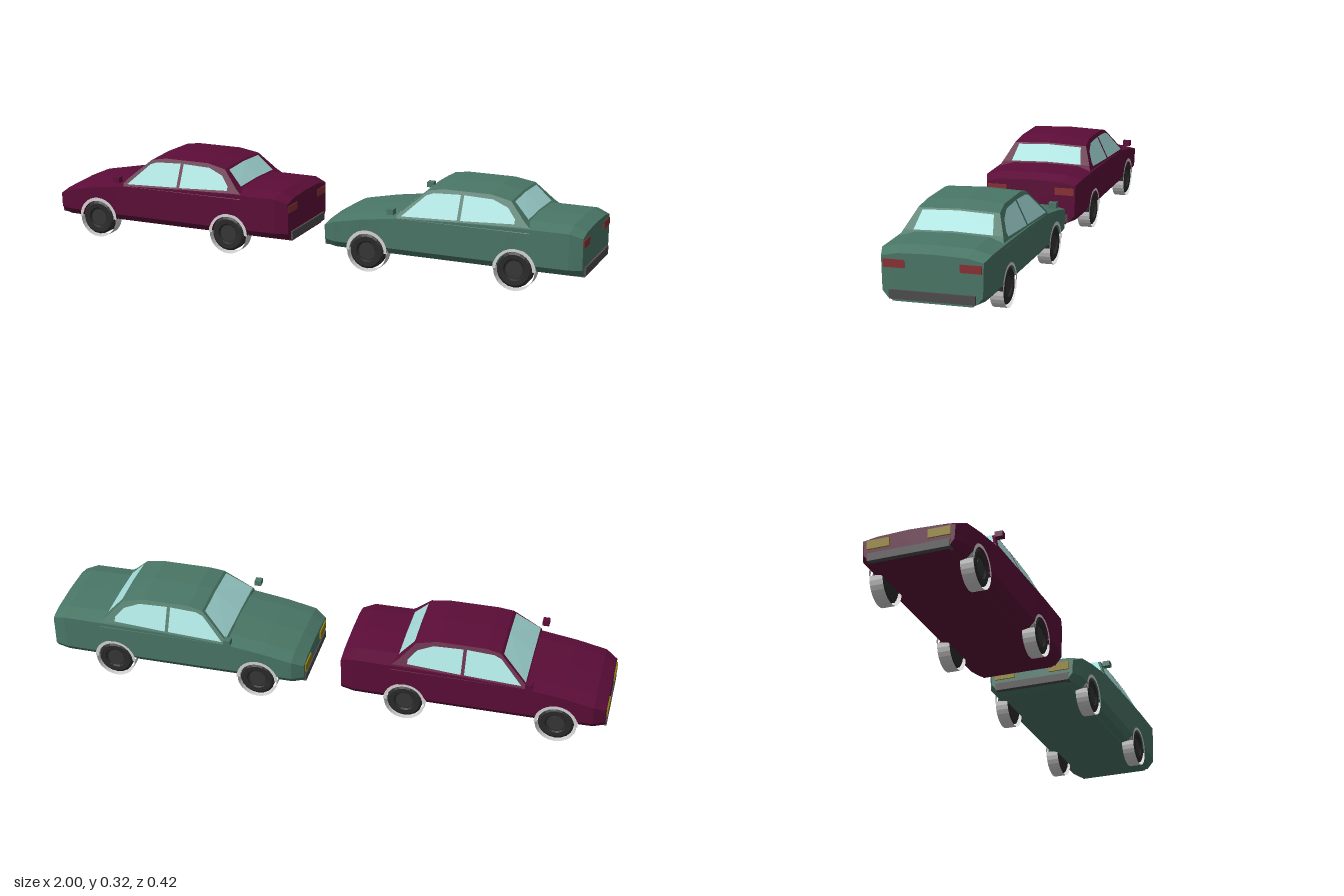
import * as THREE from 'three';

const mat = (name, color, side = THREE.FrontSide) =>
  new THREE.MeshStandardMaterial({ name, color, side, flatShading: true });

const WHEEL_X = [0.17, 0.70], WHEEL_Y = 0.063, WHEEL_R = 0.062, ARCH_R = 0.074;

// Piecewise linear lookup: rows of [x, v1, v2, ...]
function sample(rows, x, k) {
  for (let i = 1; i < rows.length; i++) {
    const a = rows[i - 1], b = rows[i];
    if (x <= b[0]) return a[k] + (b[k] - a[k]) * Math.max(0, (x - a[0]) / (b[0] - a[0]));
  }
  return rows[rows.length - 1][k];
}

// Skin a list of {x, half} sections; half = [z, y] points from bottom centre up to the crown
function loft(sections) {
  const pos = [];
  const rings = sections.map(({ x, half }) => {
    const other = half.slice(1, -1).reverse().map(([z, y]) => [-z, y]);
    return [...half, ...other].map(([z, y]) => [x, y, z]);
  });
  const tri = (a, b, c) => pos.push(...a, ...b, ...c);
  const n = rings[0].length;
  for (let i = 0; i + 1 < rings.length; i++) {
    for (let j = 0; j < n; j++) {
      const k = (j + 1) % n, p = rings[i], q = rings[i + 1];
      tri(p[j], q[j], q[k]);
      tri(p[j], q[k], p[k]);
    }
  }
  for (const [ring, flip] of [[rings[0], false], [rings[rings.length - 1], true]]) {
    const ys = ring.map(p => p[1]);
    const mid = [ring[0][0], (Math.min(...ys) + Math.max(...ys)) / 2, 0];
    for (let j = 0; j < n; j++) {
      const a = ring[j], b = ring[(j + 1) % n];
      flip ? tri(mid, b, a) : tri(mid, a, b);
    }
  }
  const g = new THREE.BufferGeometry();
  g.setAttribute('position', new THREE.Float32BufferAttribute(pos, 3));
  g.computeVertexNormals();
  return g;
}

// Flat convex polygon in space
function plate(points) {
  const g = new THREE.BufferGeometry();
  const pos = [];
  for (let i = 1; i + 1 < points.length; i++) pos.push(...points[0], ...points[i], ...points[i + 1]);
  g.setAttribute('position', new THREE.Float32BufferAttribute(pos, 3));
  g.computeVertexNormals();
  return g;
}

// Lower body with tucked sills and open wheel arches
function bodyGeometry() {
  // x, crown height, shoulder height, half width
  const rows = [
    [0.004, 0.147, 0.135, 0.157], [0.045, 0.17, 0.155, 0.178], [0.15, 0.19, 0.176, 0.18],
    [0.29, 0.21, 0.196, 0.181], [0.5, 0.213, 0.205, 0.181], [0.72, 0.229, 0.21, 0.181],
    [0.885, 0.228, 0.21, 0.179], [0.93, 0.21, 0.195, 0.166]];
  const xs = rows.map(r => r[0]);
  for (const w of WHEEL_X) {
    for (let i = 0; i <= 12; i++) xs.push(w - ARCH_R * Math.cos(i * Math.PI / 12));
    xs.push(w - ARCH_R - 0.001, w + ARCH_R + 0.001);
  }
  xs.sort((a, b) => a - b);
  return loft(xs.map(x => {
    const top = sample(rows, x, 1), sh = sample(rows, x, 2), w = sample(rows, x, 3);
    let arch = 0;
    for (const c of WHEEL_X) {
      const d = ARCH_R ** 2 - (x - c) ** 2;
      if (d > -1e-9) arch = WHEEL_Y + Math.sqrt(Math.max(0, d));
    }
    const floor = x < 0.02 ? 0.066 : 0.053;
    const low = Math.max(arch, 0.085), sill = Math.max(arch, 0.062);
    return { x, half: [[0, floor], [0.13, floor], [0.13, Math.max(arch, floor + 0.003)],
      [w - 0.022, sill], [w - 0.003, low], [w, sh], [w * 0.68, top - 0.004], [0, top]] };
  }));
}

// Cabin side plane leans inward with height
const sideZ = y => 0.179 - (y - 0.2) * 0.48;

function cabinGeometry() {
  // x, edge height, crown height
  const rows = [[0.28, 0.206, 0.208], [0.378, 0.293, 0.298], [0.43, 0.302, 0.308],
    [0.6, 0.302, 0.309], [0.672, 0.288, 0.293], [0.73, 0.228, 0.232], [0.75, 0.212, 0.215]];
  return loft(rows.map(([x, edge, crown]) =>
    ({ x, half: [[0, 0.19], [sideZ(0.195), 0.195], [sideZ(edge), edge], [0, crown]] })));
}

function buildCar(paint, m) {
  const car = new THREE.Group();
  const add = (name, geo, material, x = 0, y = 0, z = 0) => {
    const mesh = new THREE.Mesh(geo, material);
    mesh.name = name;
    mesh.position.set(x, y, z);
    car.add(mesh);
    return mesh;
  };
  const box = (name, material, x0, x1, y0, y1, z0, z1) =>
    add(name, new THREE.BoxGeometry(x1 - x0, y1 - y0, Math.abs(z1 - z0)), material,
      (x0 + x1) / 2, (y0 + y1) / 2, (z0 + z1) / 2);

  add('body', bodyGeometry(), paint);
  add('cabin', cabinGeometry(), paint);

  // Windscreen and rear window, bent along the centre line like the roof
  const screen = (name, lo, hi) => {
    for (const s of [1, -1]) {
      add(name, plate([[lo[0], lo[1], s * lo[3]], [hi[0], hi[1], s * hi[3]],
        [hi[0], hi[2], 0], [lo[0], lo[2], 0]]), m.glass);
    }
  };
  screen('windscreen', [0.283, 0.213, 0.217, 0.168], [0.369, 0.289, 0.294, 0.127]);
  screen('rearWindow', [0.732, 0.23, 0.234, 0.132], [0.68, 0.284, 0.289, 0.119]);

  // Side windows
  const frontPane = [[0.296, 0.204], [0.374, 0.278], [0.4, 0.287], [0.495, 0.291], [0.495, 0.211]];
  const rearPane = [[0.507, 0.211], [0.507, 0.291], [0.61, 0.288], [0.665, 0.268],
    [0.695, 0.235], [0.695, 0.22]];

  // Wheel outline: tyre with a recessed hub
  const profile = [[0, 0.012], [0.034, 0.014], [0.038, 0.02], [0.054, 0.021], [WHEEL_R, 0.015],
    [WHEEL_R, -0.015], [0.054, -0.021], [0, -0.021]].map(p => new THREE.Vector2(...p)).reverse();
  const wheelGeo = new THREE.LatheGeometry(profile, 18);
  const ringGeo = new THREE.RingGeometry(0.064, ARCH_R + 0.002, 14, 1, 0, Math.PI);
  const liningGeo = new THREE.CylinderGeometry(0.072, 0.072, 0.046, 14, 1, true, Math.PI / 2, Math.PI);

  for (const s of [1, -1]) {
    for (const [name, pane] of [['frontSideWindow', frontPane], ['rearSideWindow', rearPane]])
      add(name, plate(pane.map(([x, y]) => [x, y, s * (sideZ(y) + 0.002)])), m.glass);

    WHEEL_X.forEach((x, i) => {
      const end = i ? 'rear' : 'front';
      const wheel = add(end + 'Wheel', wheelGeo, m.tyre, x, WHEEL_Y, s * 0.156);
      wheel.rotation.x = s * Math.PI / 2;
      const hub = add(end + 'Hub', new THREE.CylinderGeometry(0.03, 0.03, 0.006, 12), m.hub,
        x, WHEEL_Y, s * 0.169);
      hub.rotation.x = Math.PI / 2;
      // Bright arch trim and lining
      add(end + 'ArchTrim', ringGeo, m.trim, x, WHEEL_Y, s * 0.178);
      const lining = add(end + 'ArchLining', liningGeo, m.trim, x, WHEEL_Y, s * 0.155);
      lining.rotation.x = -Math.PI / 2;
    });

    box('doorMirror', paint, 0.256, 0.28, 0.214, 0.233, s * 0.183, s * 0.21);
    box('headlight', m.lamp, -0.001, 0.007, 0.102, 0.132, s * 0.065, s * 0.142);
    box('tailLight', m.red, 0.925, 0.933, 0.16, 0.186, s * 0.09, s * 0.16);
  }
  box('frontBumper', m.bumper, 0, 0.03, 0.061, 0.088, -0.14, 0.14);
  box('rearBumper', m.bumper, 0.905, 0.937, 0.061, 0.09, -0.14, 0.14);
  return car;
}

export function createModel() {
  const m = {
    glass: mat('glass', 0xa6dedb, THREE.DoubleSide),
    tyre: mat('tyre', 0x2a2a2a),
    hub: mat('hub', 0x363636),
    trim: mat('trim', 0xd4d4d4, THREE.DoubleSide),
    bumper: mat('bumper', 0x4e4b4d),
    lamp: mat('lamp', 0x8f7d14),
    red: mat('tailRed', 0x8a3034),
  };
  const model = new THREE.Group();
  model.name = 'twoSaloonCars';
  const cars = [['maroonCar', -1, mat('maroonPaint', 0x5c0d38)],
    ['greenCar', 0.063, mat('greenPaint', 0x4a7767)]];
  for (const [name, x, paint] of cars) {
    const car = buildCar(paint, m);
    car.name = name;
    car.position.x = x;
    model.add(car);
  }
  return model;
}
